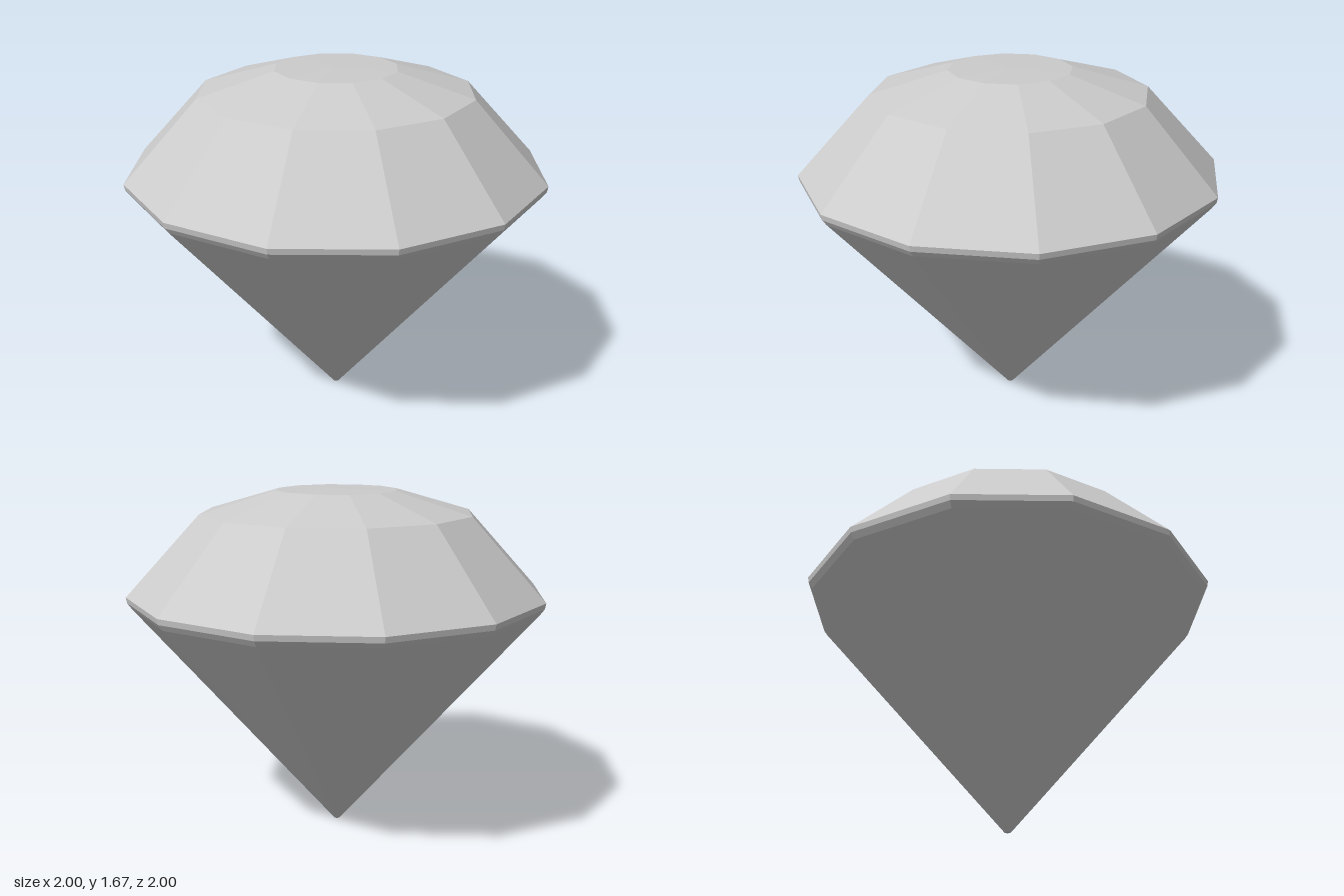
import * as THREE from 'three';

const SIDES = 12;

export function createModel() {
  const gem = new THREE.Group();
  gem.name = 'cutGem';
  const material = new THREE.MeshStandardMaterial({ color: 0xcccccc, flatShading: true });

  // Faceted band turned around the y axis; profile is [radius, height] from bottom to top
  const addBand = (name, profile) => {
    const points = profile.map(([r, y]) => new THREE.Vector2(r, y));
    const mesh = new THREE.Mesh(new THREE.LatheGeometry(points, SIDES), material);
    mesh.name = name;
    gem.add(mesh);
  };

  // Blunt tip and long lower facets
  addBand('culet', [[0, 0], [0.015, 0], [0.022, 0.008]]);
  addBand('pavilion', [[0.022, 0.008], [0.975, 1.125]]);
  // Narrow bevelled rim at the widest point
  addBand('girdle', [[0.975, 1.125], [0.995, 1.153], [1, 1.18]]);
  // Steep upper facets, then shallow ones up to the flat top
  addBand('crown', [[1, 1.18], [0.65, 1.557], [0.29, 1.662]]);
  addBand('table', [[0.29, 1.662], [0, 1.667]]);

  return gem;
}
